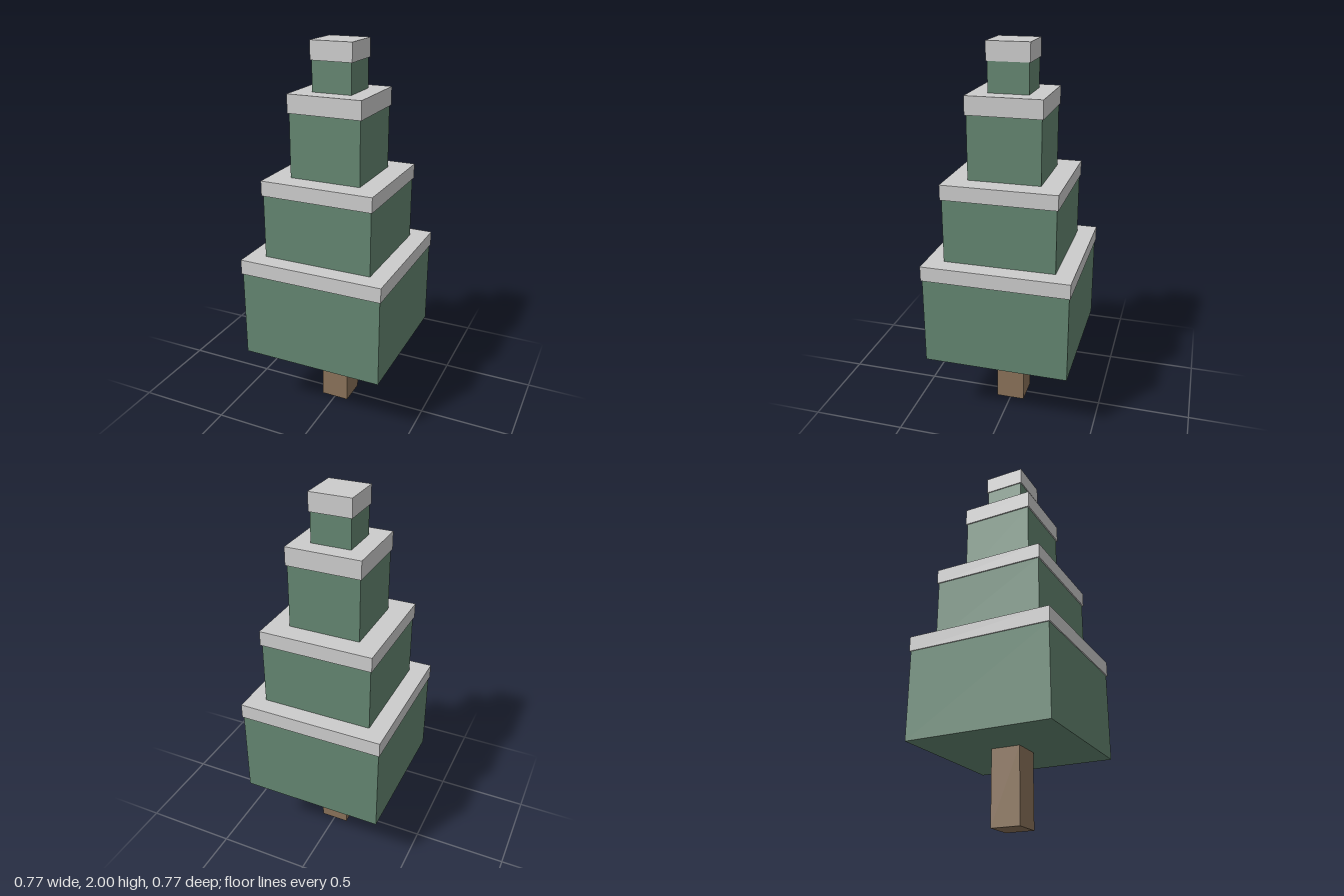
import * as THREE from 'three';

const material = (color) => new THREE.MeshStandardMaterial({ color, flatShading: true });

// Square block from its half width and its bottom and top heights
function block(name, half, bottom, top, mat) {
  const mesh = new THREE.Mesh(new THREE.BoxGeometry(half * 2, top - bottom, half * 2), mat);
  mesh.position.y = (bottom + top) / 2;
  mesh.name = name;
  return mesh;
}

export function createModel() {
  const tree = new THREE.Group();
  tree.name = 'blockyTree';

  const bark = material(0x8a7259);
  const foliage = material(0x638570);
  const snow = material(0xcccccc);

  tree.add(block('trunk', 0.077, 0, 0.38, bark));

  // Foliage tiers, each with a slightly wider snow cap
  const tiers = [
    { half: 0.379, capHalf: 0.385, bottom: 0.38, capBottom: 0.844, top: 0.922 },
    { half: 0.291, capHalf: 0.298, bottom: 0.922, capBottom: 1.255, top: 1.333 },
    { half: 0.188, capHalf: 0.195, bottom: 1.333, capBottom: 1.66, top: 1.754 },
    { half: 0.104, capHalf: 0.11, bottom: 1.754, capBottom: 1.906, top: 2 },
  ];
  tiers.forEach((t, i) => {
    const tier = new THREE.Group();
    tier.name = `tier${i + 1}`;
    tier.add(
      block('foliage', t.half, t.bottom, t.capBottom, foliage),
      block('snowCap', t.capHalf, t.capBottom, t.top, snow),
    );
    tree.add(tier);
  });

  return tree;
}
